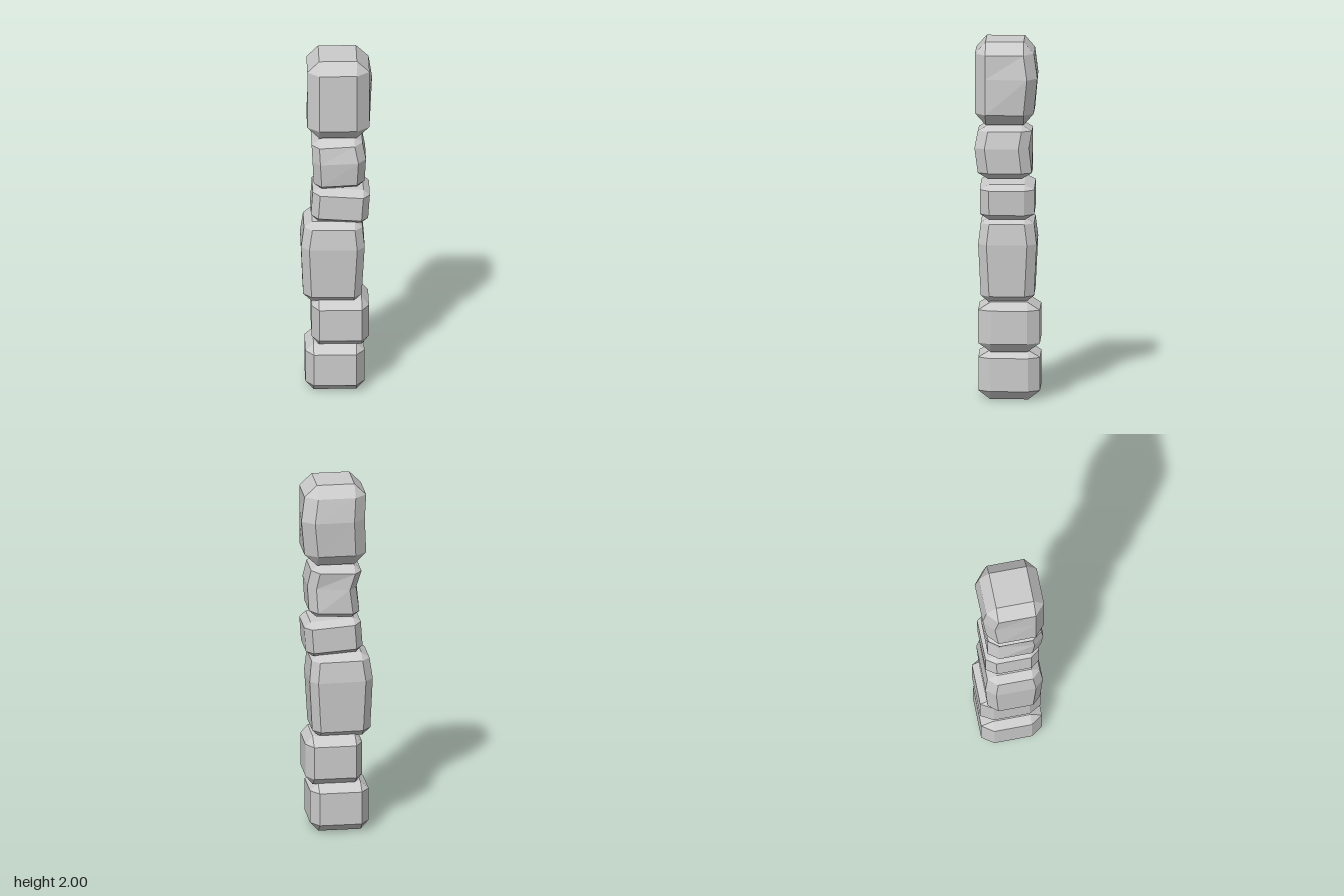
import * as THREE from 'three';

const material = new THREE.MeshStandardMaterial({ color: 0xcccccc, flatShading: true });

// Bevelled stone block.
// x, z: [outer, inner, inner, outer] limits; y: [bottom, side start, side end, top].
// bulge: optional middle ring with an [x, z] shift for each vertical corner,
// ordered (+x+z), (+x-z), (-x-z), (-x+z). tilt: lean about z in degrees.
function stoneBlock({ name, x, y, z, bulge, tilt = 0 }) {
  const cx = (x[1] + x[2]) / 2, cy = (y[0] + y[3]) / 2;
  const [xo, xi, xI, xO] = x, [zo, zi, zI, zO] = z;

  // Eight-sided side outline, and the cap rectangle with doubled corners
  const side = [[xI, zO], [xO, zI], [xO, zi], [xI, zo], [xi, zo], [xo, zi], [xo, zI], [xi, zO]];
  const cap = [[xI, zI], [xI, zI], [xI, zi], [xI, zi], [xi, zi], [xi, zi], [xi, zI], [xi, zI]];
  const ring = (outline, h) => outline.map(([px, pz]) => new THREE.Vector3(px - cx, h - cy, pz));

  const rings = [ring(cap, y[0]), ring(side, y[1])];
  if (bulge) {
    const mid = side.map(([px, pz], i) => {
      const [dx, dz] = bulge.move[Math.floor(i / 2)];
      return [px + dx, pz + dz];
    });
    rings.push(ring(mid, bulge.y));
  }
  rings.push(ring(side, y[2]), ring(cap, y[3]));

  const points = [];
  const tri = (a, b, c) => {
    const area = b.clone().sub(a).cross(c.clone().sub(a)).length();
    if (area > 1e-8) points.push(a, b, c);
  };

  // Walls and bevels between neighbouring rings
  for (let r = 0; r < rings.length - 1; r++) {
    const lo = rings[r], hi = rings[r + 1];
    for (let i = 0; i < 8; i++) {
      const j = (i + 1) % 8;
      tri(lo[i], lo[j], hi[j]);
      tri(lo[i], hi[j], hi[i]);
    }
  }

  // Flat bottom and top
  const b = rings[0], t = rings[rings.length - 1];
  tri(b[0], b[4], b[2]);
  tri(b[0], b[6], b[4]);
  tri(t[0], t[2], t[4]);
  tri(t[0], t[4], t[6]);

  const geometry = new THREE.BufferGeometry().setFromPoints(points);
  geometry.computeVertexNormals();
  const mesh = new THREE.Mesh(geometry, material);
  mesh.name = name;
  mesh.position.set(cx, cy, 0);
  mesh.rotation.z = THREE.MathUtils.degToRad(tilt);
  return mesh;
}

export function createModel() {
  const group = new THREE.Group();
  group.name = 'stonePillar';

  const blocks = [
    { name: 'baseBlock', x: [-0.175, -0.13, 0.105, 0.15], y: [0, 0.05, 0.235, 0.275],
      z: [-0.18, -0.115, 0.095, 0.16] },
    { name: 'secondBlock', x: [-0.14, -0.10, 0.135, 0.175], y: [0.27, 0.32, 0.505, 0.55],
      z: [-0.18, -0.11, 0.09, 0.16] },
    { name: 'tallBlock', x: [-0.185, -0.14, 0.095, 0.137], y: [0.54, 0.58, 0.985, 1.02],
      z: [-0.147, -0.095, 0.10, 0.147], tilt: -0.6,
      bulge: { y: 0.87, move: [[0.013, 0.014], [0.013, -0.014], [-0.015, -0.014], [-0.015, 0.014]] } },
    { name: 'thinBlock', x: [-0.14, -0.10, 0.138, 0.175], y: [1.018, 1.05, 1.188, 1.217],
      z: [-0.15, -0.095, 0.10, 0.15], tilt: -4 },
    { name: 'fifthBlock', x: [-0.135, -0.093, 0.102, 0.145], y: [1.228, 1.262, 1.495, 1.528],
      z: [-0.135, -0.078, 0.107, 0.163], tilt: 3,
      bulge: { y: 1.4, move: [[0.014, 0.018], [0.014, 0.016], [0.025, 0], [0, 0.012]] } },
    { name: 'topBlock', x: [-0.165, -0.10, 0.108, 0.177], y: [1.535, 1.6, 1.935, 2],
      z: [-0.146, -0.09, 0.12, 0.178],
      bulge: { y: 1.8, move: [[0, 0], [0.02, -0.02], [0.01, -0.018], [0, 0]] } },
  ];
  for (const block of blocks) group.add(stoneBlock(block));

  return group;
}
